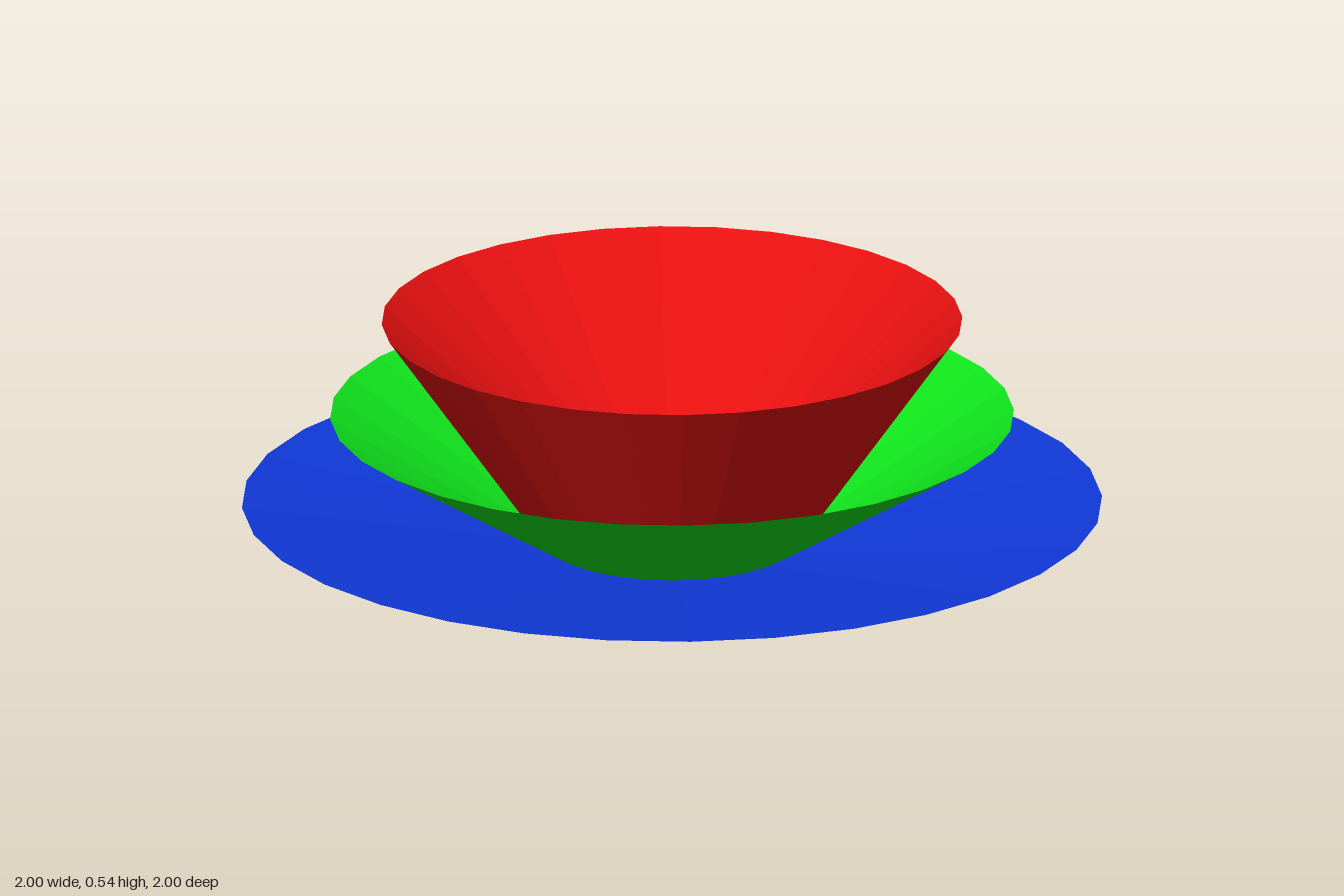
import * as THREE from 'three';

const SIDES = 32;
const BASE_RADIUS = 0.3;

function material(color) {
  return new THREE.MeshStandardMaterial({ color, flatShading: true, side: THREE.DoubleSide });
}

// Thin surface of revolution through [radius, height] points
function revolve(name, profile, mat) {
  const points = profile.map(([r, y]) => new THREE.Vector2(r, y));
  const mesh = new THREE.Mesh(new THREE.LatheGeometry(points, SIDES), mat);
  mesh.name = name;
  return mesh;
}

export function createModel() {
  const group = new THREE.Group();
  group.name = 'nestedBowls';

  const red = material(0xe61010);
  const green = material(0x10e61c);
  const blue = material(0x1038d8);

  // Flared walls sharing one open base ring
  const walls = [
    ['saucer', 1.0, 0.09, blue],
    ['middleBowl', 0.795, 0.305, green],
    ['upperBowl', 0.675, 0.535, red],
  ];
  for (const [name, radius, height, mat] of walls) {
    group.add(revolve(name, [[BASE_RADIUS, 0], [radius, height]], mat));
  }

  // Inner funnel of the upper bowl, closed by a small flat floor
  group.add(revolve('innerFunnel', [[0.113, 0.03], [0.675, 0.535]], red));
  group.add(revolve('funnelFloor', [[0, 0.03], [0.113, 0.03]], red));

  return group;
}
